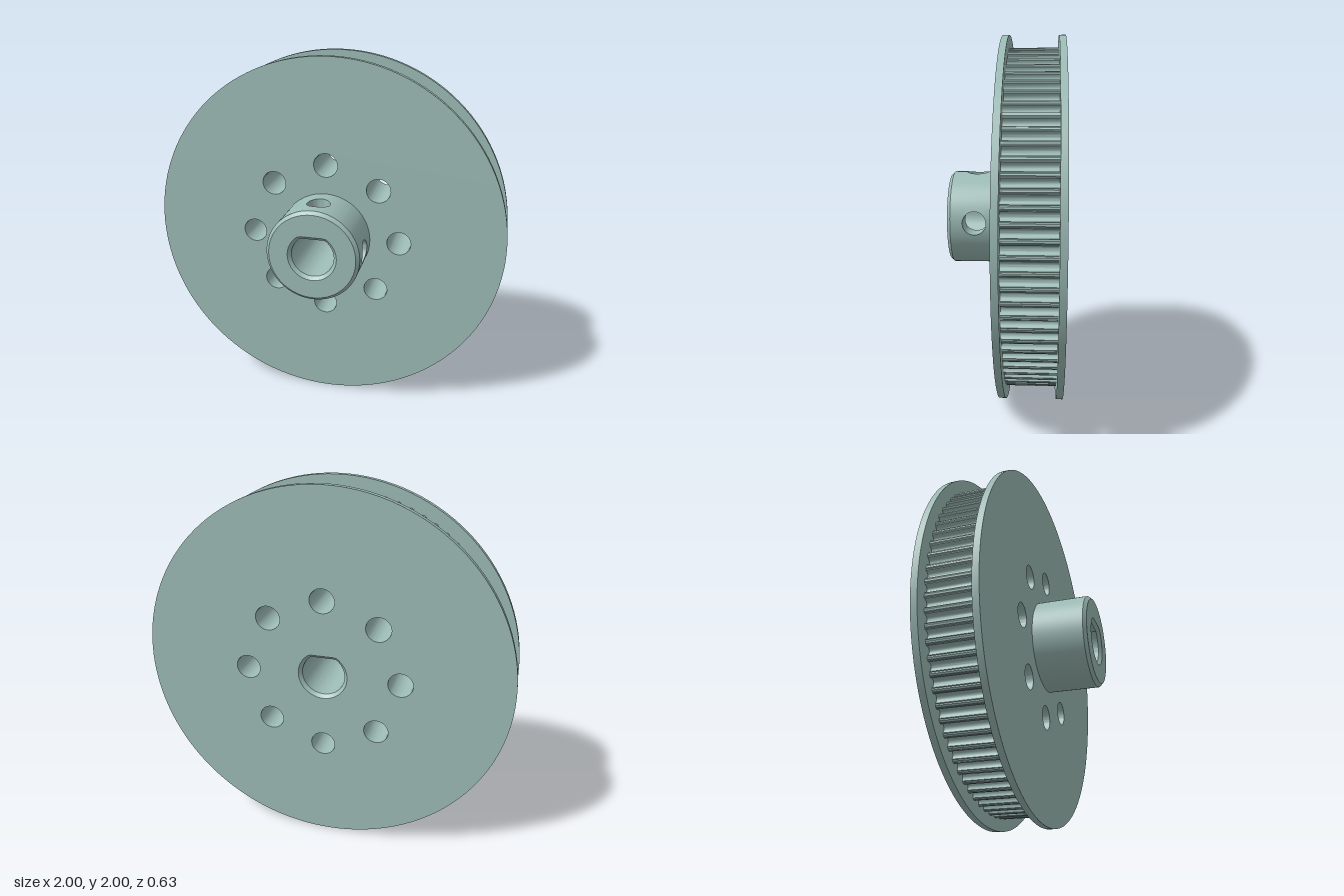
import * as THREE from 'three';
import { mergeGeometries, toCreasedNormals } from 'three/addons/utils/BufferGeometryUtils.js';

const { PI, sin, cos, tan, min, sqrt, atan2, acos, abs } = Math;

// Main dimensions
const BACK = -0.315, FRONT = 0.3125, FACE = 0.016, PLATE = 0.035;
const TEETH = 80, TOOTH_R = 0.934, GROOVE = 0.026;
const HUB_R = 0.257, CHAMFER = 0.018, SHOULDER = FRONT - CHAMFER;
const SCREW_R = 0.0635, SCREW_Z = 0.165;

// Round or D-shaped outlines: radius r, with a flat at height d
const ring = (r, d = Infinity) => ({ r, d });
const outer = ring(HUB_R);
const bore = ring(0.117, 0.096);
const boreRim = ring(bore.r + CHAMFER, bore.d + CHAMFER);
const radiusAt = (o, a) => (sin(a) > 0 ? min(o.r, o.d / sin(a)) : o.r);
const pointAt = (o, a, z) => [cos(a) * radiusAt(o, a), sin(a) * radiusAt(o, a), z];

// Angles round the hub: two windows for the set screw holes, and the gaps between
const HALF = acos(bore.d / bore.r);
const span = (a, b, n) => Array.from({ length: n + 1 }, (_, i) => a + (b - a) * i / n);
const windowAngles = c => span(-PI / 4, PI / 4, 12).map(s => c + HALF * tan(s));
const gaps = [span(HALF, PI / 2 - HALF, 6), span(PI / 2 + HALF, 2 * PI - HALF, 48)];
const allAngles = [
  ...windowAngles(0), ...gaps[0].slice(1),
  ...windowAngles(PI / 2).slice(1), ...gaps[1].slice(1),
];

// Surface through a grid of points
function grid(n, m, at) {
  const pos = [];
  for (let i = 0; i < n; i++) {
    for (let j = 0; j < m; j++) {
      const a = at(i, j), b = at(i + 1, j), c = at(i + 1, j + 1), d = at(i, j + 1);
      pos.push(...a, ...b, ...c, ...a, ...c, ...d);
    }
  }
  const g = new THREE.BufferGeometry();
  g.setAttribute('position', new THREE.Float32BufferAttribute(pos, 3));
  return g;
}

// Strip between two outlines at two heights
const band = (angles, o0, z0, o1, z1) => grid(angles.length - 1, 1,
  (i, j) => (j ? pointAt(o1, angles[i], z1) : pointAt(o0, angles[i], z0)));

// Edge of a set screw hole where it meets an outline
const SIDES = 48;
function holeEdge(o, c, k) {
  const th = k / SIDES * 2 * PI, t = SCREW_R * cos(th);
  const depth = min(sqrt(o.r * o.r - t * t), c > 0 ? o.d : Infinity);
  return [atan2(t, depth), SCREW_Z + SCREW_R * sin(th)];
}

// Wall window with a round hole, blended from the hole edge to its border
function holedWindow(o, c, inward) {
  const rows = 5, zMid = (FACE + SHOULDER) / 2, zHalf = (SHOULDER - FACE) / 2;
  return grid(SIDES, rows, (i, j) => {
    const th = i / SIDES * 2 * PI, s = 1 / Math.max(abs(cos(th)), abs(sin(th)));
    const [a, z] = holeEdge(o, c, i);
    const f = (inward ? j : rows - j) / rows;
    return pointAt(o, c + a + (HALF * s * cos(th) - a) * f, z + (zMid + zHalf * s * sin(th) - z) * f);
  });
}

// Hub with chamfered rims, D bore and two set screw holes
function hubGeometry() {
  const parts = [
    band(allAngles, outer, SHOULDER, ring(HUB_R - CHAMFER), FRONT),
    band(allAngles, ring(HUB_R - CHAMFER), FRONT, boreRim, FRONT),
    band(allAngles, boreRim, FRONT, bore, SHOULDER),
    band(allAngles, bore, FACE, bore, BACK + CHAMFER),
    band(allAngles, bore, BACK + CHAMFER, boreRim, BACK),
  ];
  for (const g of gaps) {
    parts.push(band(g, outer, FACE, outer, SHOULDER), band(g, bore, SHOULDER, bore, FACE));
  }
  for (const c of [0, PI / 2]) {
    parts.push(holedWindow(outer, c, false), holedWindow(bore, c, true));
    parts.push(grid(SIDES, 1, (i, j) => {
      const o = j ? bore : outer, [a, z] = holeEdge(o, c, i);
      return pointAt(o, c + a, z);
    }));
  }
  return toCreasedNormals(mergeGeometries(parts), 0.5);
}

// Extruded disc with the bore and the ring of eight holes
function discGeometry(points, z0, z1) {
  const shape = new THREE.Shape(points);
  shape.holes.push(new THREE.Path(allAngles.slice(0, -1).map(a => {
    const [x, y] = pointAt(boreRim, a, 0);
    return new THREE.Vector2(x, y);
  })));
  for (let i = 0; i < 8; i++) {
    const a = i * PI / 4;
    shape.holes.push(new THREE.Path().absarc(0.42 * cos(a), 0.42 * sin(a), 0.067, 0, 2 * PI, true));
  }
  const g = new THREE.ExtrudeGeometry(shape, { depth: z1 - z0, bevelEnabled: false, curveSegments: 32 });
  g.translate(0, 0, z0);
  return toCreasedNormals(g, 0.6);
}

const polar = (r, a) => new THREE.Vector2(r * cos(a), r * sin(a));

// Belt wheel outline: round-bottomed grooves between narrow lands
function toothOutline() {
  const pts = [], pitch = 2 * PI / TEETH;
  for (let i = 0; i < TEETH; i++) {
    const mid = i * pitch;
    pts.push(polar(TOOTH_R - 0.004, mid - pitch * 0.36));
    for (let k = 0; k <= 8; k++) {
      const s = k / 8 * PI;
      pts.push(polar(TOOTH_R - 0.004 - GROOVE * sin(s), mid - pitch * 0.3 * cos(s)));
    }
    pts.push(polar(TOOTH_R - 0.004, mid + pitch * 0.36));
    pts.push(polar(TOOTH_R, mid + pitch * 0.43), polar(TOOTH_R, mid + pitch * 0.57));
  }
  return pts;
}

export function createModel() {
  const metal = new THREE.MeshStandardMaterial({ color: 0x9dbcb6 });
  metal.name = 'grey green metal';
  const group = new THREE.Group();
  group.name = 'timing pulley';
  const add = (name, geometry) => {
    const mesh = new THREE.Mesh(geometry, metal);
    mesh.name = name;
    mesh.position.y = 1;
    group.add(mesh);
  };

  const circle = span(0, 2 * PI, 128).slice(0, -1).map(a => polar(1, a));
  add('frontFlange', discGeometry(circle, FACE - PLATE, FACE));
  add('toothedWheel', discGeometry(toothOutline(), BACK + PLATE, FACE - PLATE));
  add('backFlange', discGeometry(circle, BACK, BACK + PLATE));
  add('hubAndBore', hubGeometry());
  return group;
}
